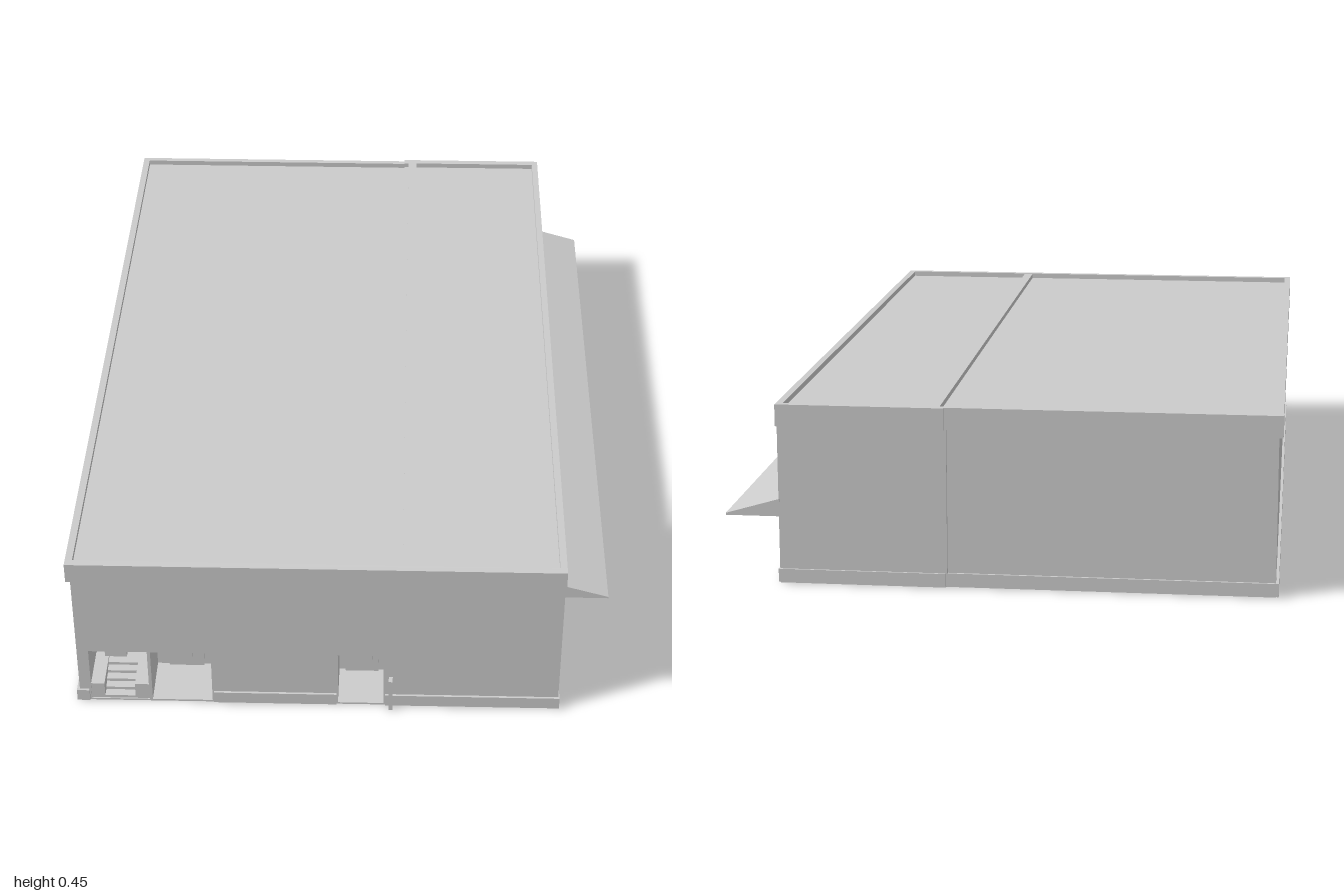
import * as THREE from 'three';

export function createModel() {
  const root = new THREE.Group();
  const mat = new THREE.MeshStandardMaterial({ color: 0xcccccc, flatShading: true, side: THREE.DoubleSide });

  const add = (name, geo, parent = root) => {
    const m = new THREE.Mesh(geo, mat);
    m.name = name;
    parent.add(m);
    return m;
  };
  // Box given by its limits on each axis
  const block = (name, x0, x1, y0, y1, z0, z1, parent = root) => {
    const g = new THREE.BoxGeometry(x1 - x0, y1 - y0, z1 - z0);
    g.translate((x0 + x1) / 2, (y0 + y1) / 2, (z0 + z1) / 2);
    return add(name, g, parent);
  };
  const polygon = (pts) => new THREE.Shape(pts.map(([x, y]) => new THREE.Vector2(x, y)));

  // Wall outline with door openings cut up from the ground
  const wallShape = (a, b, top, openings, head) => {
    const pts = [[a, 0]];
    for (const [l, r] of openings) pts.push([l, 0], [l, head], [r, head], [r, 0]);
    pts.push([b, 0], [b, top], [a, top]);
    return polygon(pts);
  };
  const thick = (shape, depth) => new THREE.ExtrudeGeometry(shape, { depth, bevelEnabled: false });

  const T = 0.015, HEAD = 0.167, SPLIT = 0.13, ROOF = 0.436, TOP = 0.45;

  // Outer walls
  const frontGeo = thick(wallShape(-0.67, 0.54, 0.43, [[-0.645, -0.33], [-0.02, 0.103]], HEAD), T);
  frontGeo.translate(0, 0, 0.98 - T);
  add('frontWall', frontGeo);
  const rightGeo = thick(wallShape(-0.98, 0.985, 0.43, [[-0.955, -0.83]], HEAD), T);
  rightGeo.rotateY(Math.PI / 2);
  rightGeo.translate(0.54 - T, 0, 0);
  add('sideWallLeft', rightGeo);
  block('sideWallRight', -0.67, -0.67 + T, 0, 0.43, -0.98, 0.98);
  block('backWallWide', -0.67, SPLIT, 0, 0.43, -0.98, -0.965);
  block('backWallNarrow', SPLIT, 0.54, 0, 0.43, -0.987, -0.965);

  // Plinth around the base, interrupted at the doors
  const plinth = new THREE.Group();
  plinth.name = 'plinth';
  root.add(plinth);
  for (const [a, b] of [[-0.677, -0.645], [-0.33, -0.02], [0.103, 0.543]])
    block('plinthFront', a, b, 0.003, 0.036, 0.97, 0.986, plinth);
  block('plinthRight', -0.677, -0.66, 0.003, 0.036, -0.986, 0.986, plinth);
  block('plinthLeft', 0.53, 0.543, 0.003, 0.036, -0.99, 0.83, plinth);
  block('plinthLeftCorner', 0.53, 0.543, 0.003, 0.036, 0.955, 0.986, plinth);
  block('plinthBack', -0.677, SPLIT, 0.003, 0.036, -0.986, -0.97, plinth);
  block('plinthBackNarrow', SPLIT, 0.543, 0.003, 0.036, -0.992, -0.97, plinth);

  // Roof slab, parapet rim and the raised joint between both halves
  block('roof', -0.67, 0.535, 0.425, ROOF, -0.98, 0.98);
  const parapet = new THREE.Group();
  parapet.name = 'parapet';
  root.add(parapet);
  block('parapetFront', -0.68, 0.542, 0.396, TOP, 0.97, 0.99, parapet);
  block('parapetBackWide', -0.68, SPLIT, 0.396, TOP, -0.99, -0.974, parapet);
  block('parapetBackNarrow', SPLIT, 0.542, 0.396, TOP, -0.998, -0.978, parapet);
  block('parapetRight', -0.68, -0.662, 0.396, TOP, -0.99, 0.99, parapet);
  block('parapetLeft', 0.525, 0.542, 0.396, TOP, -0.995, 0.99, parapet);
  block('roofJoint', 0.143, 0.168, 0.425, TOP - 0.001, -0.98, 0.975, parapet);

  // Recessed entrances: inner walls, ceiling and floor
  const alcove = (name, x0, x1, z0, z1, openX) => {
    const g = new THREE.Group();
    g.name = name;
    root.add(g);
    const t = 0.004;
    block('alcoveCeiling', x0, x1, HEAD - t, HEAD, z0, z1, g);
    block('alcoveFloor', x0, x1, 0, 0.005, z0, z1, g);
    block('alcoveBack', x0, x1, 0, HEAD, z0, z0 + t, g);
    block('alcoveSide', x0, x0 + t, 0, HEAD, z0, z1, g);
    if (openX) block('alcoveFront', x0, x1, 0, HEAD, z1 - t, z1, g);
    else block('alcoveSide', x1 - t, x1, 0, HEAD, z0, z1, g);
    return g;
  };
  const stairEntrance = alcove('stairEntrance', -0.645, -0.49, 0.84, 0.98);
  const middleEntrance = alcove('middleEntrance', -0.49, -0.33, 0.84, 0.98);
  const frontEntrance = alcove('frontEntrance', -0.02, 0.103, 0.85, 0.98);
  alcove('sideEntrance', 0.44, 0.54, 0.83, 0.955, true);
  block('doorLamp', -0.6, -0.545, 0.143, 0.163, 0.955, 0.975, stairEntrance);
  block('doorLamp', -0.435, -0.38, 0.143, 0.163, 0.955, 0.975, middleEntrance);
  block('doorLamp', 0.015, 0.07, 0.143, 0.163, 0.955, 0.975, frontEntrance);
  block('door', -0.455, -0.365, 0.005, 0.13, 0.844, 0.85, middleEntrance);
  block('door', 0.0, 0.085, 0.005, 0.13, 0.854, 0.86, frontEntrance);

  // Steps between two cheek walls
  for (let i = 0; i < 5; i++)
    block('step', -0.607, -0.53, 0.004, 0.013 + i * 0.008, 0.955 - i * 0.022, 0.977 - i * 0.022, stairEntrance);
  block('landing', -0.641, -0.494, 0.004, 0.045, 0.844, 0.867, stairEntrance);
  for (const [a, b] of [[-0.641, -0.607], [-0.53, -0.494]])
    block('stairCheek', a, b, 0.004, 0.052, 0.86, 0.977, stairEntrance);

  // Floor strip along the front and the guard post
  block('frontFloor', -0.67, 0.53, 0, 0.004, 0.9, 0.975);
  block('guardPost', 0.112, 0.122, 0, 0.095, 0.978, 1.0);

  // Sloping canopy with triangular brackets
  const canopy = new THREE.Group();
  canopy.name = 'canopy';
  root.add(canopy);
  const sheet = thick(polygon([[0.538, 0.205], [0.672, 0.168], [0.672, 0.173], [0.538, 0.212]]), 1.737);
  sheet.translate(0, 0, -0.988);
  add('canopySheet', sheet, canopy);
  for (const z of [0.741, 0.2, 0.15, -0.37, -0.42, -0.988]) {
    const fin = thick(polygon([[0.538, 0.168], [0.672, 0.168], [0.538, 0.21]]), 0.007);
    fin.translate(0, 0, z);
    add('canopyBracket', fin, canopy);
  }

  // Inner lowered ceiling with recesses, and the beam under the roof joint
  const ceiling = polygon([[0.03, -0.9], [0.03, 0.86], [-0.5, 0.86], [-0.5, 0.75], [-0.655, 0.75],
    [-0.655, 0.5], [-0.5, 0.5], [-0.5, 0.2], [-0.655, 0.2], [-0.655, -0.1], [-0.5, -0.1],
    [-0.5, -0.4], [-0.655, -0.4], [-0.655, -0.65], [-0.5, -0.65], [-0.5, -0.9]]);
  for (const [z0, z1] of [[-0.56, -0.34], [-0.13, 0.22], [0.46, 0.7]])
    ceiling.holes.push(new THREE.Path([[-0.34, z0], [-0.11, z0], [-0.11, z1], [-0.34, z1]]
      .map(([x, z]) => new THREE.Vector2(x, z))));
  const ceilingGeo = thick(ceiling, 0.085);
  ceilingGeo.rotateX(Math.PI / 2);
  ceilingGeo.translate(0, 0.425, 0);
  add('loweredCeiling', ceilingGeo);
  block('jointBeam', 0.135, 0.165, 0.3, 0.43, -0.97, 0.97);

  // Slim downpipes on the walls
  const pipes = new THREE.Group();
  pipes.name = 'downpipes';
  root.add(pipes);
  block('pipe', 0.126, 0.132, 0.036, 0.396, -0.989, -0.98, pipes);
  block('pipe', 0.122, 0.128, 0.31, 0.396, 0.978, 0.983, pipes);
  for (const z of [0.9, -0.63]) block('pipe', 0.538, 0.542, 0.3, 0.396, z - 0.003, z + 0.003, pipes);
  block('pipe', -0.673, -0.668, 0.28, 0.396, -0.003, 0.003, pipes);

  return root;
}
